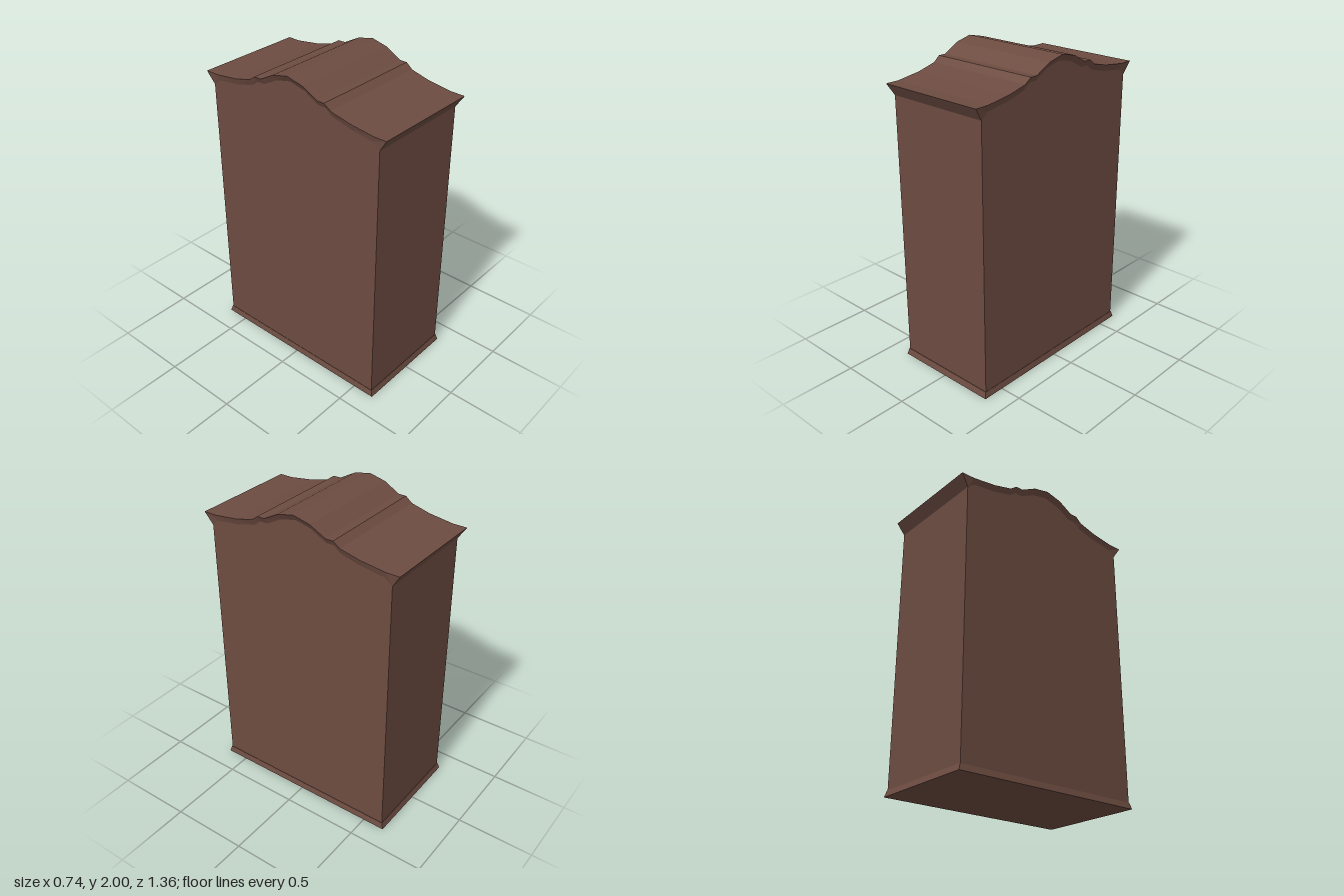
import * as THREE from 'three';

const brownWood = new THREE.MeshStandardMaterial({ color: 0x6d4c41 });
brownWood.name = 'brownWood';

const HALF_WIDTH = 0.347;

// half profiles from the middle outwards: [z, y] under the cornice, [z, y, x] along its rim
const LOWER = [[0, 1.962], [0.105, 1.938], [0.205, 1.885], [0.255, 1.885], [0.3, 1.85], [0.43, 1.817], [0.58, 1.797], [0.63, 1.758]];
const UPPER = [[0, 2, 0.37], [0.11, 1.975, 0.369], [0.212, 1.92, 0.366], [0.262, 1.92, 0.366], [0.306, 1.887, 0.363],
  [0.43, 1.856, 0.36], [0.59, 1.835, 0.358], [0.68, 1.835, 0.358]];

// full profile running from back (-z) to front (+z)
const mirrored = (half) => [
  ...half.slice(1).reverse().map(([z, ...rest]) => [-z, ...rest]),
  ...half,
];

function addMesh(group, name, geometry) {
  const mesh = new THREE.Mesh(geometry, brownWood);
  mesh.name = name;
  group.add(mesh);
}

// tall case, its top following the curved pediment
function bodyGeometry() {
  const shape = new THREE.Shape();
  shape.moveTo(-0.63, 0.02);
  shape.lineTo(0.63, 0.02);
  for (const [z, y] of mirrored(LOWER).reverse()) shape.lineTo(z, y);
  const geometry = new THREE.ExtrudeGeometry(shape, { depth: 2 * HALF_WIDTH, bevelEnabled: false });
  return geometry.translate(0, 0, -HALF_WIDTH).rotateY(-Math.PI / 2);
}

// flared moulding: curved top, sloping sides and sloping ends
function corniceGeometry() {
  const lower = mirrored(LOWER);
  const upper = mirrored(UPPER);
  const positions = [];
  const quad = (a, b, c, d) => positions.push(...a, ...b, ...c, ...a, ...c, ...d);
  const low = (i, side) => [side * HALF_WIDTH, lower[i][1], lower[i][0]];
  const high = (i, side) => [side * upper[i][2], upper[i][1], upper[i][0]];
  const last = upper.length - 1;
  for (let i = 0; i < last; i++) {
    quad(high(i, -1), high(i + 1, -1), high(i + 1, 1), high(i, 1));
    quad(low(i, 1), high(i, 1), high(i + 1, 1), low(i + 1, 1));
    quad(low(i, -1), low(i + 1, -1), high(i + 1, -1), high(i, -1));
  }
  quad(low(last, -1), low(last, 1), high(last, 1), high(last, -1));
  quad(low(0, 1), low(0, -1), high(0, -1), high(0, 1));
  const geometry = new THREE.BufferGeometry();
  geometry.setAttribute('position', new THREE.Float32BufferAttribute(positions, 3));
  geometry.computeVertexNormals();
  return geometry;
}

// low skirting, tapering up to the case
function plinthGeometry() {
  const height = 0.04;
  const geometry = new THREE.BoxGeometry(2, height, 2).translate(0, height / 2, 0).toNonIndexed();
  const p = geometry.attributes.position;
  for (let i = 0; i < p.count; i++) {
    const top = p.getY(i) > 0.01;
    p.setX(i, p.getX(i) * (top ? 0.349 : 0.358));
    p.setZ(i, p.getZ(i) * (top ? 0.633 : 0.645));
  }
  geometry.computeVertexNormals();
  return geometry;
}

export function createModel() {
  const model = new THREE.Group();
  model.name = 'cabinet';
  addMesh(model, 'body', bodyGeometry());
  addMesh(model, 'cornice', corniceGeometry());
  addMesh(model, 'plinth', plinthGeometry());
  return model;
}
